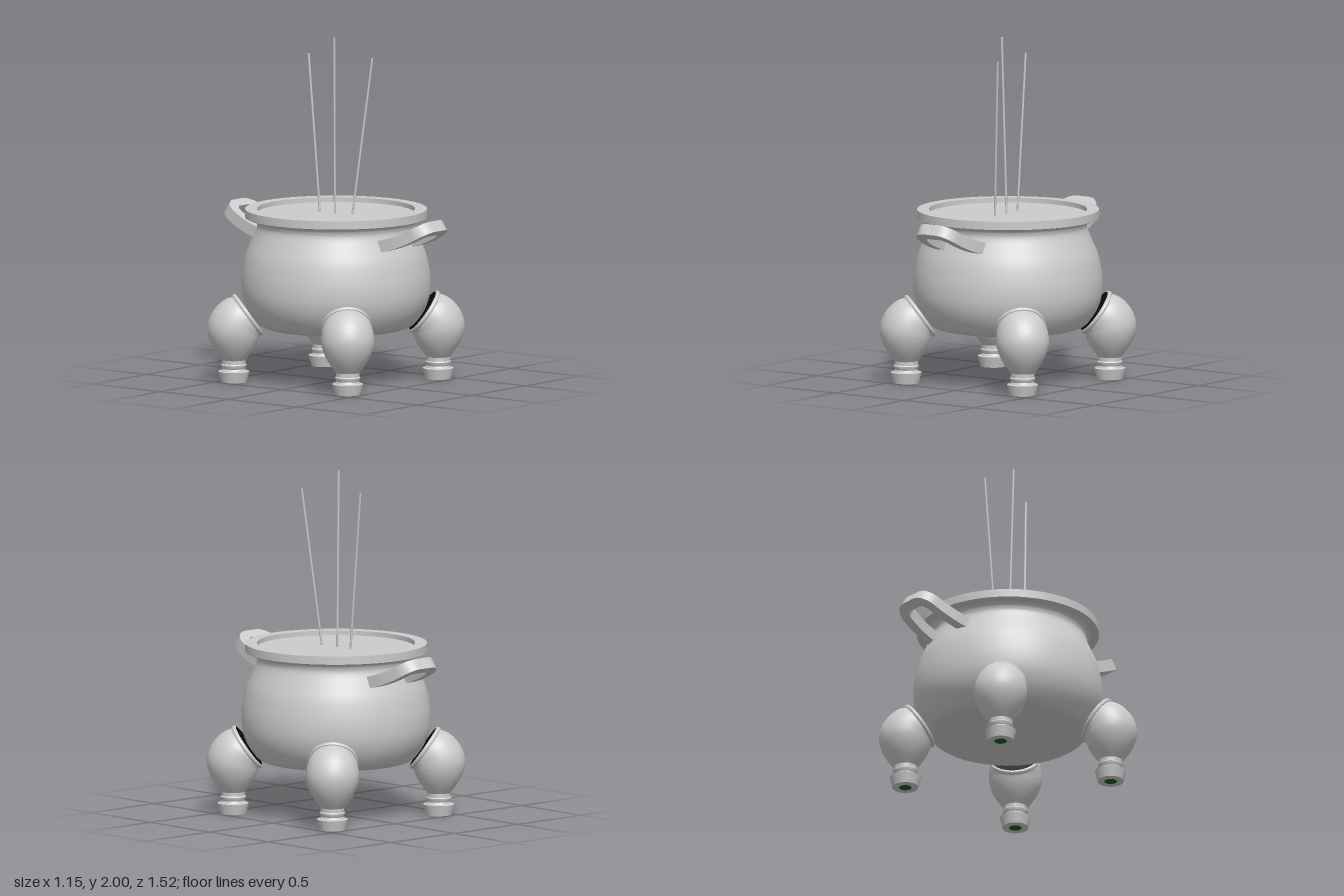
import * as THREE from 'three';
import { toCreasedNormals } from 'three/addons/utils/BufferGeometryUtils.js';

const grey = new THREE.MeshStandardMaterial({ color: 0xcccccc });
const black = new THREE.MeshStandardMaterial({ color: 0x0c0c0c });
const green = new THREE.MeshStandardMaterial({ color: 0x1c5a1c });

function part(name, geometry, material = grey) {
  const mesh = new THREE.Mesh(geometry, material);
  mesh.name = name;
  return mesh;
}

// Skin over a row of closed cross-sections
function loft(rings, crease = 0.6) {
  const n = rings[0].length;
  const index = [];
  for (let i = 0; i < rings.length - 1; i++) {
    for (let j = 0; j < n; j++) {
      const a = i * n + j, b = i * n + (j + 1) % n;
      index.push(a, a + n, b, b, a + n, b + n);
    }
  }
  const geometry = new THREE.BufferGeometry().setFromPoints(rings.flat());
  geometry.setIndex(index);
  return toCreasedNormals(geometry, crease);
}

// Round belly, flared rim and the recessed filling surface
function bowl() {
  const group = new THREE.Group();
  group.name = 'bowl';
  const v = (x, y) => new THREE.Vector2(x, y);
  const belly = new THREE.SplineCurve([
    v(0.41, 0.312), v(0.455, 0.335), v(0.51, 0.41), v(0.54, 0.49), v(0.547, 0.57),
    v(0.54, 0.65), v(0.52, 0.74), v(0.487, 0.82), v(0.458, 0.89), v(0.462, 0.925), v(0.48, 0.945),
  ]).getPoints(40);
  const profile = [v(0, 0.31), v(0.4, 0.31), ...belly,
    v(0.515, 0.946), v(0.526, 0.952), v(0.526, 1), v(0.457, 1), v(0.457, 0.972)];
  group.add(part('bowlBody', toCreasedNormals(new THREE.LatheGeometry(profile, 64), 0.6)));
  const filling = part('filling', new THREE.CircleGeometry(0.46, 64));
  filling.rotation.x = -Math.PI / 2;
  filling.position.y = 0.973;
  group.add(filling);
  return group;
}

// Turned foot, then a bulb that bends inwards to a collar; local +x points outwards
function leg() {
  const group = new THREE.Group();
  group.name = 'leg';
  const rings = [];
  const ring = (cx, cy, r, tilt) => {
    const points = [];
    for (let j = 0; j < 40; j++) {
      const a = j / 40 * Math.PI * 2;
      points.push(new THREE.Vector3(
        cx + r * Math.cos(a) * Math.cos(tilt), cy + r * Math.cos(a) * Math.sin(tilt), r * Math.sin(a)));
    }
    rings.push(points);
  };
  const axis = 0.594;
  const upright = [[0, 0.001], [0, 0.075], [0.062, 0.09], [0.066, 0.072], [0.078, 0.066], [0.085, 0.07],
    [0.1, 0.074], [0.107, 0.068], [0.128, 0.068], [0.136, 0.074], [0.16, 0.093], [0.19, 0.113],
    [0.22, 0.13], [0.25, 0.142], [0.27, 0.148]];
  for (const [y, r] of upright) ring(axis, y, r, 0);
  // The bend turns about the inner side of the bulb
  const px = 0.446, py = 0.27, end = 0.96;
  const bend = [[0.09, 0.151], [0.18, 0.153], [0.28, 0.1535], [0.38, 0.153], [0.48, 0.152],
    [0.58, 0.15], [0.68, 0.148], [0.78, 0.145], [0.88, 0.141], [end, 0.136]];
  for (const [t, r] of bend) ring(px + r * Math.cos(t), py + r * Math.sin(t), r, t);
  const cx = px + 0.136 * Math.cos(end), cy = py + 0.136 * Math.sin(end);
  const along = (d) => [cx - d * Math.sin(end), cy + d * Math.cos(end)];
  for (const [d, r] of [[0.002, 0.142], [0.012, 0.146], [0.022, 0.142], [0.026, 0.132]]) {
    ring(...along(d), r, end);
  }
  group.add(part('legBody', loft(rings)));

  // Dark joint face towards the bowl
  const joint = part('legJoint', new THREE.CircleGeometry(0.133, 40), black);
  joint.position.set(...along(0.0255), 0);
  joint.quaternion.setFromUnitVectors(new THREE.Vector3(0, 0, 1),
    new THREE.Vector3(-Math.sin(end), Math.cos(end), 0));
  group.add(joint);

  const pad = part('footPad', new THREE.CircleGeometry(0.036, 24), green);
  pad.rotation.x = Math.PI / 2;
  pad.position.set(axis, -0.001, 0);
  group.add(pad);
  return group;
}

// Flat U-shaped band that curls upwards away from the bowl
function handle() {
  const half = [[0.136, 0], [0.127, 0.1], [0.113, 0.2], [0.1, 0.265], [0.065, 0.302]];
  const path = new THREE.CatmullRomCurve3([
    ...half, [0, 0.306], ...half.slice().reverse().map(([x, s]) => [-x, s]),
  ].map(([x, s]) => new THREE.Vector3(x, s, 0)));
  const a0 = 0.2, k = 1.2;
  const curl = (x, s, h) => {
    const a = a0 + k * s;
    return new THREE.Vector3(x,
      0.833 - (Math.cos(a) - Math.cos(a0)) / k + h * Math.cos(a),
      0.435 + (Math.sin(a) - Math.sin(a0)) / k - h * Math.sin(a));
  };
  const rings = [];
  for (let i = 0; i <= 48; i++) {
    const p = path.getPointAt(i / 48), t = path.getTangentAt(i / 48);
    rings.push([[1, -1], [-1, -1], [-1, 1], [1, 1]].map(([w, h]) =>
      curl(p.x + w * 0.03 * t.y, p.y - w * 0.03 * t.x, h * 0.034)));
  }
  return part('handle', loft(rings));
}

function stick(from, to) {
  const a = new THREE.Vector3(...from), b = new THREE.Vector3(...to);
  const dir = b.clone().sub(a);
  const mesh = part('incenseStick', new THREE.CylinderGeometry(0.0065, 0.0065, dir.length(), 8));
  mesh.position.copy(a).add(b).multiplyScalar(0.5);
  mesh.quaternion.setFromUnitVectors(new THREE.Vector3(0, 1, 0), dir.normalize());
  return mesh;
}

export function createModel() {
  const model = new THREE.Group();
  model.name = 'incenseBurner';
  model.add(bowl());
  for (let i = 0; i < 4; i++) {
    const l = leg();
    l.rotation.y = Math.PI / 4 + i * Math.PI / 2;
    model.add(l);
  }
  for (const turn of [0, Math.PI]) {
    const h = handle();
    h.rotation.y = turn;
    model.add(h);
  }
  model.add(
    stick([-0.013, 0.965, -0.108], [-0.015, 1.89, -0.19]),
    stick([-0.01, 0.965, 0.0], [-0.034, 2, 0.014]),
    stick([-0.003, 0.965, 0.122], [0.079, 1.885, 0.205]),
  );
  return model;
}
